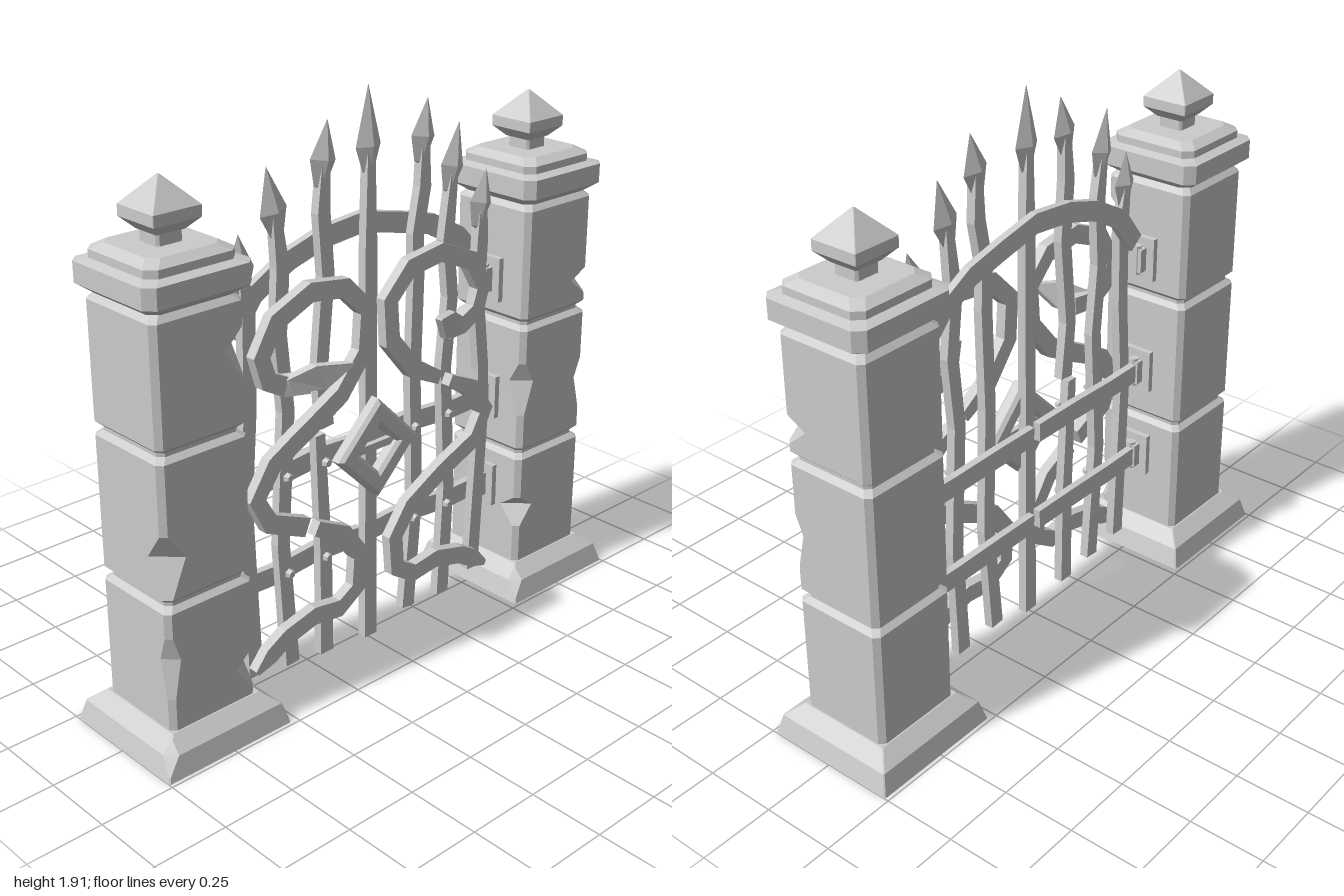
import * as THREE from 'three';

const mat = new THREE.MeshStandardMaterial({ color: 0xcccccc, flatShading: true });
const V = (x, y, z = 0) => new THREE.Vector3(x, y, z);

function add(parent, geo, name, x = 0, y = 0, z = 0) {
  const m = new THREE.Mesh(geo, mat);
  m.name = name;
  m.position.set(x, y, z);
  parent.add(m);
  return m;
}

// Closed skin through a list of equal-length rings
function loft(rings) {
  const pos = [], n = rings[0].length;
  const tri = (...p) => p.forEach(v => pos.push(v.x, v.y, v.z));
  for (let i = 0; i < rings.length - 1; i++) {
    const r = rings[i], s = rings[i + 1];
    for (let j = 0; j < n; j++) {
      const k = (j + 1) % n;
      tri(r[j], r[k], s[k]);
      tri(r[j], s[k], s[j]);
    }
  }
  const a = rings[0], b = rings[rings.length - 1];
  for (let j = 1; j < n - 1; j++) {
    tri(a[0], a[j + 1], a[j]);
    tri(b[0], b[j], b[j + 1]);
  }
  const g = new THREE.BufferGeometry();
  g.setAttribute('position', new THREE.Float32BufferAttribute(pos, 3));
  g.computeVertexNormals();
  return g;
}

// Square ring with cut corners; extra[k] cuts corner k deeper
const CORNERS = [[1, 1], [1, -1], [-1, -1], [-1, 1]];
function squareRing(y, h, c, extra = [0, 0, 0, 0]) {
  return CORNERS.flatMap(([sx, sz], k) => {
    const d = Math.min(c + extra[k], h);
    const p = V(sx * (h - d), y, sz * h), q = V(sx * h, y, sz * (h - d));
    return sx * sz > 0 ? [p, q] : [q, p];
  });
}

// Stacked square profile [y, half width]; chips are [corner, y, reach, depth]
function stack(profile, chamfer, chips = []) {
  const ys = new Set(profile.map(p => p[0]));
  const lo = profile[0][0], hi = profile[profile.length - 1][0];
  chips.forEach(([, y, s]) => [y - s, y, y + s * 0.6].forEach(v => v > lo && v < hi && ys.add(v)));
  const half = y => {
    const i = Math.max(1, profile.findIndex(p => p[0] >= y));
    const [y0, h0] = profile[i - 1], [y1, h1] = profile[i];
    return h0 + (h1 - h0) * (y - y0) / (y1 - y0);
  };
  return loft([...ys].sort((a, b) => a - b).map(y => {
    const extra = [0, 0, 0, 0];
    for (const [k, cy, s, d] of chips) {
      const reach = y > cy ? s * 0.6 : s;
      extra[k] += d * Math.max(0, 1 - Math.abs(y - cy) / reach);
    }
    return squareRing(y, half(y), chamfer, extra);
  }));
}

// Flat iron strip along points; w0 and w1 are the end widths
function strip(pts, w, d, w0 = w, w1 = w) {
  return loft(pts.map((p, i) => {
    const a = pts[Math.max(0, i - 1)], b = pts[Math.min(pts.length - 1, i + 1)];
    const t = V(b.x - a.x, b.y - a.y).normalize();
    const h = (i === 0 ? w0 : i === pts.length - 1 ? w1 : w) / 2;
    const at = (s, f) => V(p.x - t.y * h * s, p.y + t.x * h * s, p.z + f * d / 2);
    return [at(1, 1), at(-1, 1), at(-1, -1), at(1, -1)];
  }));
}

function pillar(name, x, chips) {
  const g = new THREE.Group();
  g.name = name;
  g.position.x = x;
  add(g, stack([[0, 0.237], [0.07, 0.218], [0.112, 0.168]], 0.004, [[3, 0.07, 0.05, 0.03]]), 'pillarBase');
  add(g, stack([[0.11, 0.163], [0.51, 0.163], [0.526, 0.145], [0.538, 0.145], [0.555, 0.163],
    [0.99, 0.163], [1.006, 0.145], [1.018, 0.145], [1.035, 0.163], [1.41, 0.163], [1.43, 0.145], [1.45, 0.145]],
    0.018, chips), 'pillarShaft');
  add(g, stack([[1.43, 0.15], [1.46, 0.19], [1.525, 0.19], [1.535, 0.158], [1.56, 0.158], [1.58, 0.125]], 0.03), 'pillarCap');
  add(g, stack([[1.57, 0.045], [1.625, 0.045]], 0.008), 'finialNeck');
  add(g, stack([[1.615, 0.05], [1.65, 0.084], [1.685, 0.084], [1.77, 0.004]], 0.002), 'finial');
  return g;
}

// Upright bar with a spearhead; top is the widest point of the head
function spear(parent, points, top, tip) {
  const pts = points.map(([x, y]) => V(x, y, 0.03));
  const end = V(top[0], top[1], 0.03), dir = V(tip[0] - top[0], tip[1] - top[1]);
  add(parent, strip([...pts, end], 0.05, 0.032, 0.055, 0.03), 'uprightBar');
  const len = dir.length();
  const prof = [[0, -0.09], [0.024, -0.08], [0.052, 0], [0, len]].map(p => new THREE.Vector2(...p));
  const head = add(parent, new THREE.LatheGeometry(prof, 4), 'spearhead', end.x, end.y, end.z);
  head.scale.z = 0.5;
  head.quaternion.setFromUnitVectors(V(0, 1), dir.normalize());
}

export function createModel() {
  const model = new THREE.Group();

  // Stone pillars with worn corners
  model.add(pillar('rightPillar', -0.763, [[0, 1.27, 0.1, 0.06], [3, 0.68, 0.14, 0.06], [0, 0.22, 0.09, 0.06], [3, 0.35, 0.13, 0.025]]));
  model.add(pillar('leftPillar', 0.763, [[0, 1.12, 0.06, 0.07], [3, 0.8, 0.12, 0.04], [3, 0.32, 0.07, 0.06], [0, 0.75, 0.12, 0.03]]));

  const gate = new THREE.Group();
  gate.name = 'gate';
  model.add(gate);

  // Upright bars: path, head position, tip
  const bars = [
    [[[-0.505, 0.07], [-0.525, 0.68], [-0.5, 1.0], [-0.495, 1.3]], [-0.51, 1.44], [-0.515, 1.55]],
    [[[-0.35, 0.05], [-0.38, 0.5], [-0.35, 0.95], [-0.375, 1.2], [-0.36, 1.42]], [-0.38, 1.59], [-0.405, 1.73]],
    [[[-0.19, 0.85], [-0.21, 1.05], [-0.18, 1.35], [-0.195, 1.55]], [-0.185, 1.71], [-0.165, 1.83]],
    [[[0, 0.01], [0, 0.7], [0, 1.4]], [0, 1.72], [0, 1.91]],
    [[[0.18, 0.05], [0.215, 0.45], [0.2, 0.9], [0.21, 1.25], [0.205, 1.4], [0.235, 1.55]], [0.235, 1.71], [0.255, 1.83]],
    [[[0.35, 0.04], [0.37, 0.45], [0.345, 0.9], [0.37, 1.15], [0.345, 1.35]], [0.37, 1.59], [0.4, 1.73]],
    [[[0.505, 0.08], [0.535, 0.65], [0.53, 0.85], [0.5, 1.1], [0.51, 1.32]], [0.51, 1.44], [0.535, 1.55]],
  ];
  bars.forEach(b => spear(gate, ...b));
  add(gate, strip([V(-0.2, 0.03, 0.03), V(-0.2, 0.4, 0.03), V(-0.22, 0.83, 0.03)], 0.05, 0.032, 0.055, 0.04), 'brokenBar');

  // Arch behind the bars
  const arch = [[-0.53, 1.23], [-0.44, 1.345], [-0.3, 1.42], [-0.16, 1.46], [0, 1.475], [0.16, 1.44], [0.3, 1.405], [0.43, 1.335], [0.53, 1.23]];
  add(gate, strip(arch.map(p => V(...p, 0)), 0.068, 0.026), 'archRail');

  // Rails, bolts and hinges, both sides
  for (const s of [-1, 1]) {
    for (const y of [0.385, 0.725]) {
      const rail = [V(-0.58, y, 0), V(-0.4, y - 0.005, 0.002), V(-0.2, y + 0.006, -0.006), V(-0.015, y, 0)];
      if (s > 0) rail.reverse().forEach(p => { p.x *= -1; });
      add(gate, strip(rail, 0.068, 0.026), 'rail');
      for (const x of [0.2, 0.36]) {
        add(gate, new THREE.CylinderGeometry(0.012, 0.018, 0.02, 6), 'bolt', s * x, y + 0.005, 0.053).rotation.x = Math.PI / 2;
      }
    }
    for (const y of [0.385, 0.725, 1.155]) {
      add(gate, new THREE.BoxGeometry(0.025, 0.155, 0.11), 'hingePlate', s * 0.592, y, 0.005);
      add(gate, new THREE.BoxGeometry(0.035, 0.085, 0.05), 'hingeArm', s * 0.567, y, 0.005);
      add(gate, new THREE.CylinderGeometry(0.018, 0.018, 0.105, 6), 'hingePin', s * 0.562, y, 0.005);
    }
  }

  // Scrolls in front of the bars, each with its own break and bent tip
  const Z = 0.066;
  const upper = [[-0.39, 1.055], [-0.455, 1.09], [-0.48, 1.17], [-0.42, 1.27], [-0.28, 1.33], [-0.14, 1.31], [-0.05, 1.22], [-0.06, 1.08], [-0.16, 0.96], [-0.28, 0.895]];
  const middle = [[-0.33, 0.87], [-0.44, 0.81], [-0.51, 0.71], [-0.46, 0.615], [-0.31, 0.55]];
  const lower = [[-0.27, 0.53], [-0.15, 0.465], [-0.08, 0.37], [-0.09, 0.25], [-0.17, 0.2], [-0.28, 0.215], [-0.4, 0.185], [-0.47, 0.145], [-0.53, 0.105]];
  const path = (list, s) => list.map(([x, y, z = Z]) => V(-s * x, y, z));
  const W = 0.064, D = 0.036;
  add(gate, strip(path([[-0.31, 1.05, 0.09], ...upper, ...middle], -1), W, D), 'rightUpperScroll');
  add(gate, strip(path(lower, -1), W, D, 0.05, 0.02), 'rightLowerScroll');
  add(gate, strip(path([[-0.31, 1.06, 0.08], ...upper], 1), W, D, W, 0.045), 'leftUpperScroll');
  add(gate, strip(path([...middle, ...lower], 1), W, D, 0.04, 0.02), 'leftLowerScroll');
  // Pointed leaf ends
  const leaf = (s, z) => strip(path([[-0.38, 1.055, 0.075], [-0.3, 1.08, (Z + z) / 2], [-0.23, 1.125, z]], s), 0.095, 0.03, 0.05, 0.006);
  add(gate, leaf(-1, 0.2), 'rightScrollLeaf');
  add(gate, leaf(1, 0.12), 'leftScrollLeaf');

  // Diamond lock plate with a cross latch
  const diamond = (C, r) => new C([[r, 0], [0, r], [-r, 0], [0, -r]].map(p => new THREE.Vector2(...p)));
  const frame = diamond(THREE.Shape, 0.158);
  frame.holes.push(diamond(THREE.Path, 0.1));
  add(gate, new THREE.ExtrudeGeometry(frame, { depth: 0.03, bevelThickness: 0.012, bevelSize: 0.012, bevelSegments: 1 }), 'diamondFrame', 0, 0.727, 0.048);
  add(gate, new THREE.BoxGeometry(0.18, 0.026, 0.02), 'latch', 0, 0.727, 0.055);

  return model;
}
